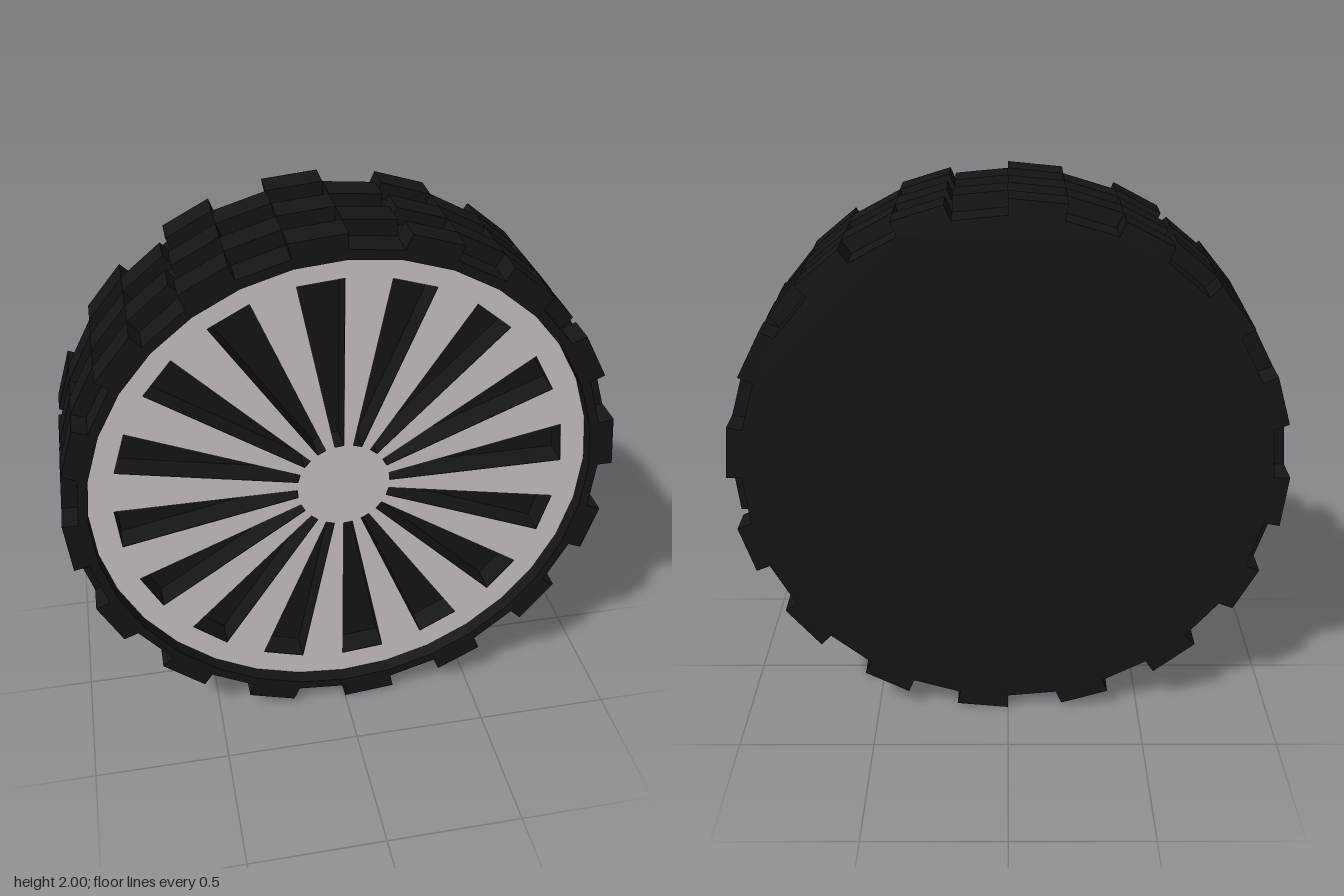
import * as THREE from 'three';

const SIDES = 32, STEP = (Math.PI * 2) / SIDES;
const HALF = 0.275;      // half of the tyre width
const BASE = 0.945, TOP = 1.0, LIP = 0.91;
const FLOOR = 0.12, FACE = 0.22;

const polar = (r, a) => new THREE.Vector2(r * Math.cos(a), r * Math.sin(a));
const ngon = (r) => Array.from({ length: SIDES }, (_, i) => polar(r, i * STEP));

export function createModel() {
  const model = new THREE.Group();
  const rubber = new THREE.MeshStandardMaterial({ color: 0x151515, flatShading: true });
  const metal = new THREE.MeshStandardMaterial({ color: 0xd0c8cc, flatShading: true });

  const add = (name, shapes, z0, z1, material, parent = model) => {
    const geometry = new THREE.ExtrudeGeometry(shapes, { depth: z1 - z0, bevelEnabled: false });
    const mesh = new THREE.Mesh(geometry, material);
    mesh.name = name;
    mesh.position.z = z0;
    parent.add(mesh);
  };

  // Solid tyre core with a closed back
  add('tyreBody', new THREE.Shape(ngon(BASE)), -HALF, FLOOR, rubber);

  // Raised front lip around the rim
  const lip = new THREE.Shape(ngon(BASE));
  lip.holes.push(new THREE.Path(ngon(LIP)));
  add('tyreLip', lip, FLOOR, HALF, rubber);

  // Rim plate with sixteen wedge slots between the spokes
  const plate = new THREE.Shape(ngon(LIP));
  for (let i = 0; i < SIDES; i += 2) {
    const a = i * STEP, b = a + STEP;
    plate.holes.push(new THREE.Path([polar(0.17, a), polar(0.82, a), polar(0.82, b), polar(0.17, b)]));
  }
  add('slotWalls', plate, FLOOR, FACE - 0.003, rubber);
  const face = new THREE.Mesh(new THREE.ShapeGeometry(plate), metal);
  face.name = 'spokeFace';
  face.position.z = FACE;
  model.add(face);

  // Five rows of tread blocks, every other row shifted by one block
  const tread = new THREE.Group();
  tread.name = 'tread';
  model.add(tread);
  const trim = (i) => (i % 4 === 3 ? 0.012 : 0);   // small notch at some block corners
  const rowWidth = (2 * HALF) / 5;
  for (let row = 0; row < 5; row++) {
    const blocks = [];
    for (let i = row % 2; i < SIDES; i += 2) {
      const a = i * STEP, b = a + STEP;
      blocks.push(new THREE.Shape([
        polar(BASE - 0.01, a), polar(BASE, a), polar(TOP, a + trim(i)),
        polar(TOP, b - trim(i + 1)), polar(BASE, b), polar(BASE - 0.01, b),
      ].reverse()));
    }
    const z0 = -HALF + row * rowWidth;
    add('treadRow' + (row + 1), blocks, z0, z0 + rowWidth, rubber, tread);
  }

  model.position.y = 1;
  const root = new THREE.Group();
  root.name = 'wheel';
  root.add(model);
  return root;
}
